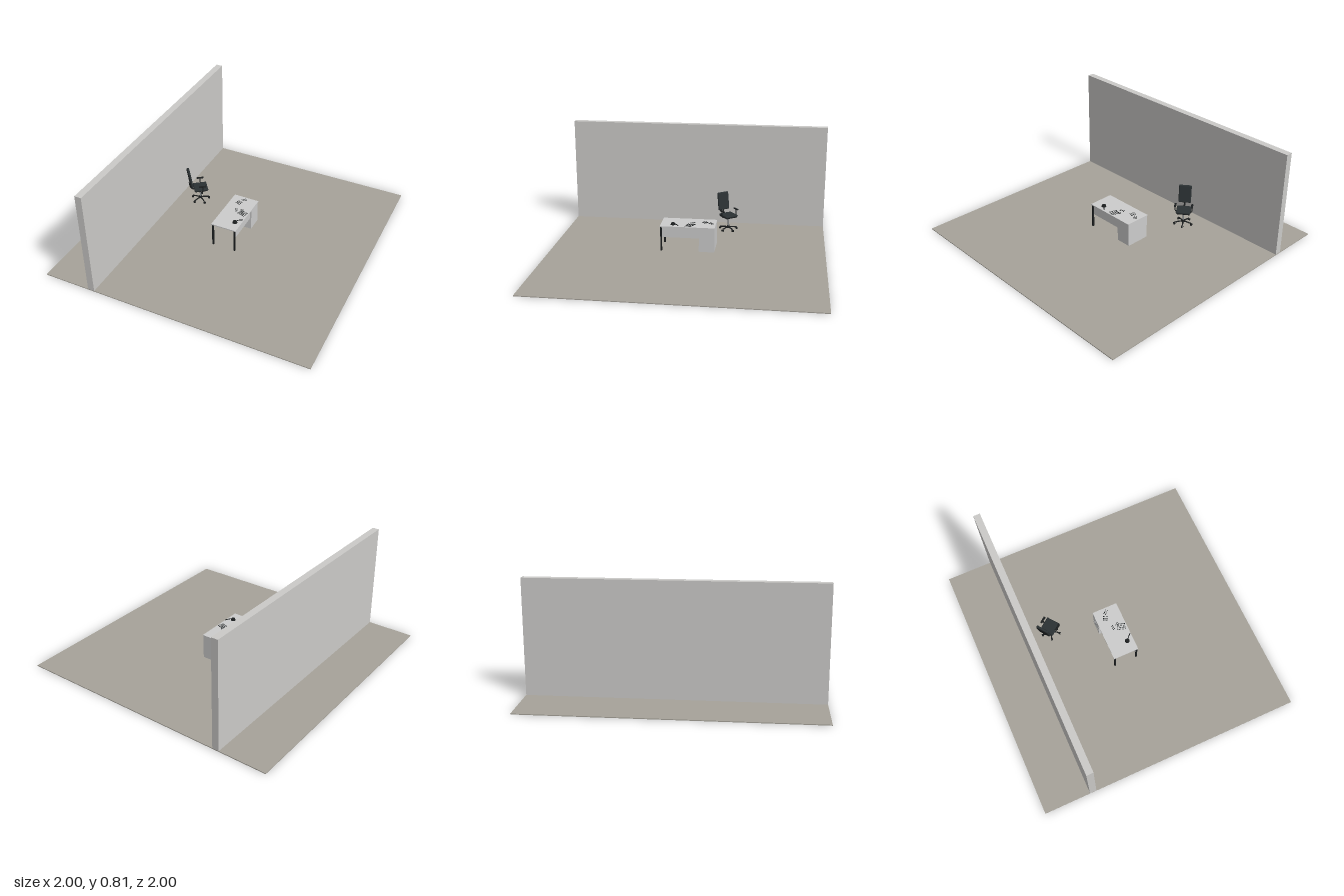
import * as THREE from 'three';
import { RoundedBoxGeometry } from 'three/addons/geometries/RoundedBoxGeometry.js';

const material = (name, color) => {
  const m = new THREE.MeshStandardMaterial({ color });
  m.name = name;
  return m;
};

export function createModel() {
  const wallGrey = material('wall grey', 0xcbcac8);
  const floorTaupe = material('floor taupe', 0xa6a299);
  const deskGrey = material('desk grey', 0xcccccc);
  const black = material('black', 0x1c1f20);
  const fabric = material('charcoal fabric', 0x2b3133);
  const steel = material('steel', 0x85888a);

  const add = (parent, name, geometry, mat, x = 0, y = 0, z = 0) => {
    const mesh = new THREE.Mesh(geometry, mat);
    mesh.name = name;
    mesh.position.set(x, y, z);
    parent.add(mesh);
    return mesh;
  };
  const box = (parent, name, mat, w, h, d, x, y, z) =>
    add(parent, name, new THREE.BoxGeometry(w, h, d), mat, x, y, z);
  const padded = (parent, name, mat, w, h, d, r, x, y, z) =>
    add(parent, name, new RoundedBoxGeometry(w, h, d, 3, r), mat, x, y, z);
  const tube = (parent, name, mat, r, ...points) => {
    const curve = new THREE.CatmullRomCurve3(points.map(p => new THREE.Vector3(...p)));
    return add(parent, name, new THREE.TubeGeometry(curve, 12, r, 8), mat);
  };
  const group = (parent, name, x = 0, y = 0, z = 0) => {
    const g = new THREE.Group();
    g.name = name;
    g.position.set(x, y, z);
    parent.add(g);
    return g;
  };

  const model = new THREE.Group();
  model.name = 'office corner';

  // Room
  box(model, 'floor', floorTaupe, 2, 0.006, 2, 0, 0.003, 0);
  box(model, 'wall', wallGrey, 0.05, 0.8, 2, -0.625, 0.406, 0);

  // Desk: top, drawer pedestal, modesty panel and two legs
  const desk = group(model, 'desk');
  box(desk, 'deskTop', deskGrey, 0.196, 0.008, 0.4, 0, 0.192, 0);
  box(desk, 'pedestalPlinth', deskGrey, 0.17, 0.006, 0.105, 0, 0.009, -0.142);
  box(desk, 'pedestal', deskGrey, 0.186, 0.176, 0.114, 0, 0.1, -0.142);
  box(desk, 'modestyPanel', deskGrey, 0.006, 0.08, 0.275, 0.08, 0.148, 0.052);
  for (const y of [0.04, 0.097, 0.154]) {
    box(desk, 'drawerFront', deskGrey, 0.004, 0.052, 0.106, -0.095, y, -0.142);
    box(desk, 'drawerHandle', steel, 0.004, 0.004, 0.04, -0.098, y + 0.014, -0.142);
  }
  for (const side of [-1, 1])
    box(desk, 'deskLeg', black, 0.012, 0.182, 0.012, side * 0.087, 0.097, 0.192);

  // Small dark pieces lying on the desk: [x, z, turn, columns, rows]
  const clusters = [
    [-0.005, -0.165, 0.7, 4, 2], [-0.025, -0.12, -0.4, 4, 3],
    [-0.005, -0.03, 0.3, 2, 3], [0.055, -0.012, -0.3, 6, 4], [0.035, -0.04, 0.6, 3, 2],
  ];
  for (const [x, z, turn, columns, rows] of clusters) {
    const set = group(desk, 'deskPieces', x, 0.197, z);
    set.rotation.y = turn;
    for (let i = 0; i < columns; i++)
      for (let j = 0; j < rows; j++)
        box(set, 'deskPiece', black, 0.005, 0.003, 0.007,
          (i - (columns - 1) / 2) * 0.011, 0, (j - (rows - 1) / 2) * 0.014);
  }

  // Round desk gadget with a slanting arm
  const gadget = group(desk, 'deskGadget', 0.05, 0.196, 0.11);
  add(gadget, 'gadgetBody', new THREE.CylinderGeometry(0.013, 0.018, 0.014, 24), black, 0, 0.007, 0);
  tube(gadget, 'gadgetArm', black, 0.003, [0, 0.012, 0], [0.022, 0.012, -0.024], [0.043, 0.007, -0.046]);

  // Swivel chair, modelled facing +z and turned toward the desk
  const chair = group(model, 'chair', -0.43, 0.006, -0.257);
  chair.rotation.y = THREE.MathUtils.degToRad(127);
  for (let i = 0; i < 5; i++) {
    const spoke = group(chair, 'baseSpoke');
    spoke.rotation.y = (i * Math.PI * 2) / 5;
    tube(spoke, 'spokeArm', black, 0.005, [0, 0.024, 0], [0, 0.022, 0.035], [0, 0.017, 0.068]);
    for (const side of [-1, 1]) {
      const wheel = add(spoke, 'castor', new THREE.CylinderGeometry(0.008, 0.008, 0.005, 16),
        black, side * 0.005, 0.008, 0.068);
      wheel.rotation.z = Math.PI / 2;
    }
  }
  add(chair, 'baseHub', new THREE.CylinderGeometry(0.01, 0.013, 0.018, 20), black, 0, 0.026, 0);
  add(chair, 'gasLift', new THREE.CylinderGeometry(0.006, 0.006, 0.075, 20), steel, 0, 0.068, 0);
  box(chair, 'tiltMechanism', black, 0.045, 0.01, 0.05, 0, 0.106, 0);
  padded(chair, 'seatPan', black, 0.1, 0.01, 0.1, 0.004, 0, 0.111, 0.002);
  padded(chair, 'seatCushion', fabric, 0.11, 0.016, 0.108, 0.007, 0, 0.12, 0.002);

  // Reclined backrest and its support
  tube(chair, 'backSupport', black, 0.006,
    [0, 0.108, -0.02], [0, 0.11, -0.06], [0, 0.13, -0.075], [0, 0.18, -0.086]);
  const back = group(chair, 'backrest', 0, 0.215, -0.077);
  back.rotation.x = -0.16;
  padded(back, 'backCushion', fabric, 0.096, 0.14, 0.018, 0.008, 0, 0.002, 0);
  padded(back, 'backShell', black, 0.088, 0.13, 0.01, 0.004, 0, 0.002, -0.008);

  // Armrests
  for (const side of [-1, 1]) {
    tube(chair, 'armPost', black, 0.004,
      [side * 0.04, 0.108, 0.01], [side * 0.06, 0.113, 0.01], [side * 0.064, 0.135, 0.01], [side * 0.064, 0.16, 0.01]);
    padded(chair, 'armPad', black, 0.016, 0.008, 0.055, 0.003, side * 0.063, 0.163, 0.01);
  }

  return model;
}
